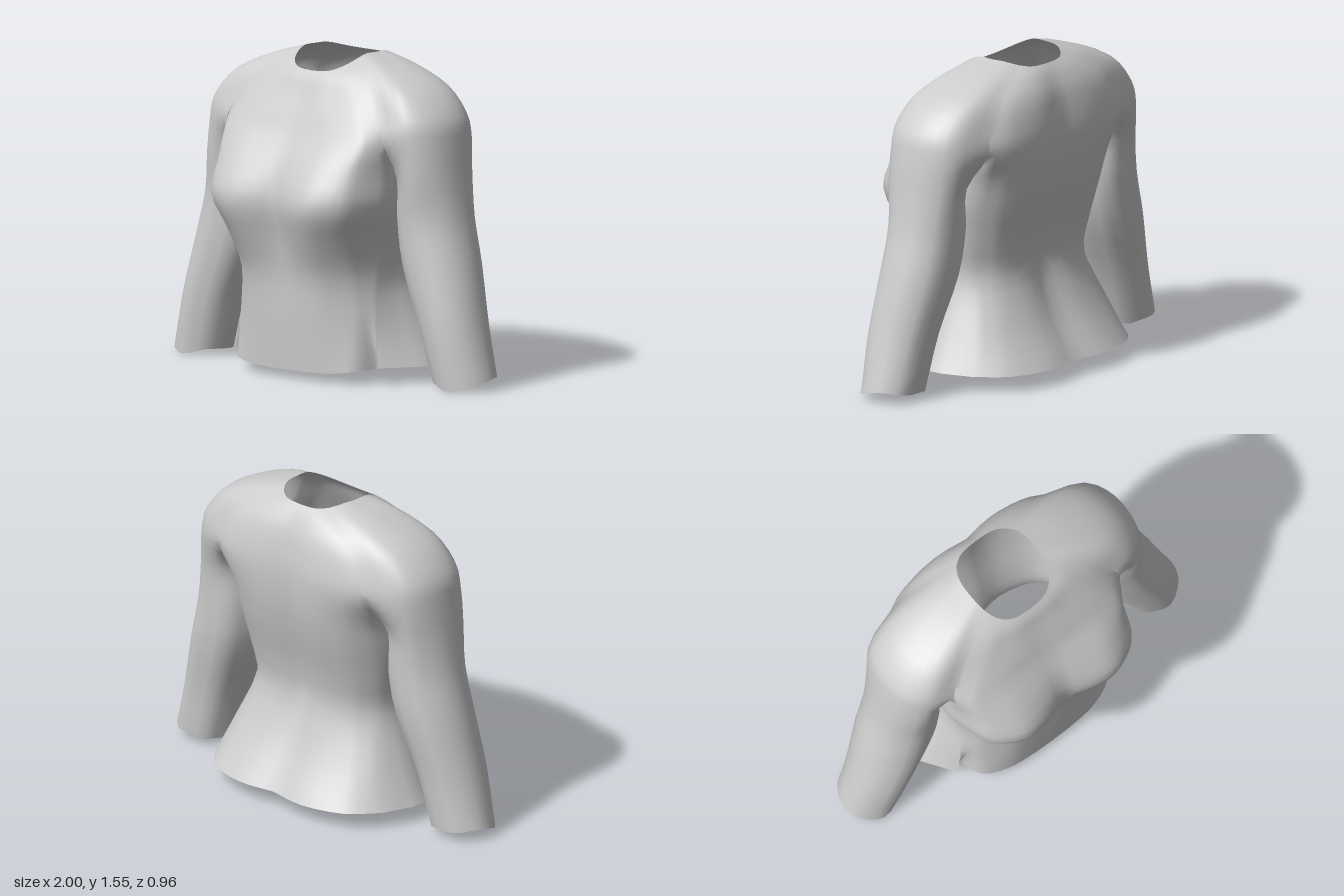
import * as THREE from 'three';
import { mergeVertices } from 'three/addons/utils/BufferGeometryUtils.js';

const vec = (x, y, z) => new THREE.Vector3(x, y, z);
const { lerp, degToRad } = THREE.MathUtils;

// Half torso section (x >= 0): six front points, side, four back points
function torsoRow({ y, front, bust, armX, armZ, sideX, backX, backZ, back, oval = 0, fold = 0, dip = 0 }) {
  const across = [0, 0.3, 0.56, 0.82, 0.92, 1];
  const boxDepth = [1, 1, 1, 0.77, 0.45, 0];
  const ovalDepth = [1, 0.97, 0.86, 0.48, 0.26, 0];
  const points = across.map((a, i) => {
    const depth = lerp(boxDepth[i], ovalDepth[i], oval);
    const full = front + (i === 0 ? 0 : bust * (i === 1 ? 0.85 : 1));
    const z = lerp(armZ, full, depth) - (i === 4 ? fold : 0);
    return vec(armX * a, y - dip * depth, z);
  });
  points.push(vec(sideX, y, -0.05), vec(backX, y, backZ));
  points.push(vec(backX * 0.77, y, lerp(backZ, back, 0.68)));
  points.push(vec(backX * 0.38, y, back), vec(0, y, back + 0.025));
  return points;
}

// Hem (with front fold), waist, bust and armhole
const torso = [
  { y: 0.08, front: 0.33, bust: 0, armX: 0.47, armZ: 0.19, sideX: 0.61, backX: 0.55, backZ: -0.28, back: -0.48, oval: 1, fold: 0.08, dip: 0.04 },
  { y: 0.28, front: 0.345, bust: 0, armX: 0.44, armZ: 0.165, sideX: 0.51, backX: 0.47, backZ: -0.22, back: -0.355, oval: 1, fold: 0.01 },
  { y: 0.5, front: 0.35, bust: 0.01, armX: 0.42, armZ: 0.13, sideX: 0.43, backX: 0.4, backZ: -0.15, back: -0.275, oval: 0.6 },
  { y: 0.68, front: 0.375, bust: 0.045, armX: 0.45, armZ: 0.13, sideX: 0.455, backX: 0.42, backZ: -0.17, back: -0.295, oval: 0.2 },
  { y: 0.86, front: 0.41, bust: 0.067, armX: 0.505, armZ: 0.17, sideX: 0.49, backX: 0.45, backZ: -0.2, back: -0.345 },
  { y: 1.02, front: 0.375, bust: 0.035, armX: 0.505, armZ: 0.17, sideX: 0.49, backX: 0.46, backZ: -0.25, back: -0.38 },
  { y: 1.17, front: 0.295, bust: 0.012, armX: 0.51, armZ: 0.195, sideX: 0.49, backX: 0.49, backZ: -0.32, back: -0.395 },
].map(torsoRow);
const armhole = torso[torso.length - 1];

// Oval sleeve section: armpit front, four outer points, armpit back, inner point
function sleeveRow([y, inX, outX, frontZ, backZ], row) {
  const cuff = [0, -0.03, 0, 0.03, 0.015, 0, 0];
  return [130, 80, 30, -15, -65, -125, 180].map((deg, i) => {
    const a = degToRad(deg);
    return vec(
      (inX + outX) / 2 + (outX - inX) / 2 * Math.cos(a),
      y + (row === 0 ? cuff[i] : 0),
      (frontZ + backZ) / 2 + (frontZ - backZ) / 2 * Math.sin(a));
  });
}

const sleeve = [
  [0.03, 0.685, 1, 0.13, -0.175],
  [0.3, 0.6, 0.935, 0.15, -0.195],
  [0.58, 0.485, 0.865, 0.15, -0.235],
  [0.8, 0.45, 0.805, 0.145, -0.245],
  [1, 0.47, 0.77, 0.165, -0.26],
  [1.17, 0.49, 0.745, 0.165, -0.275],
].map(sleeveRow);
// The top of the sleeve shares the armhole with the torso
const sleeveTop = sleeve[sleeve.length - 1];
[sleeveTop[0], sleeveTop[6], sleeveTop[5]] = armhole.slice(5, 8);

// Neckline: a squarish oval, dipping at the front and slightly at the back
const shoulderRing = [...armhole.slice(0, 6), ...sleeveTop.slice(1, 5), ...armhole.slice(7)];
const neckline = shoulderRing.map((_, i) => {
  const a = Math.PI * (0.5 - i / (shoulderRing.length - 1));
  const s = Math.sin(a);
  const x = 0.2 * Math.abs(Math.cos(a)) ** 0.7;
  const z = -0.062 + 0.208 * Math.sign(s) * Math.abs(s) ** 0.8;
  const y = 1.55 - 0.08 * Math.max(0, (z + 0.02) / 0.16) ** 1.3 - 0.3 * Math.max(0, -z - 0.17);
  return vec(x, y, z);
});

// Yoke: rises from the shoulder ring to the neckline, domed over the shoulders
const frontness = [1, 1, 1, 0.8, 0.6, 0.3];
const yoke = [[0.31, 0.06, 0.29], [0.64, 0.28, 0.61], [0.87, 0.65, 0.81], [1, 1, 1]].map(
  ([rise, sideIn, frontIn]) => shoulderRing.map((p, i) => {
    const q = neckline[i], inward = lerp(sideIn, frontIn, frontness[i] ?? 0);
    return vec(lerp(p.x, q.x, inward), lerp(p.y, q.y, rise), lerp(p.z, q.z, inward));
  }));

// Samples a smooth curve through the points, with STEPS samples per span
const STEPS = 3;
function spline(points) {
  const curve = new THREE.CatmullRomCurve3(points, false, 'catmullrom', 0.5);
  const total = (points.length - 1) * STEPS;
  return Array.from({ length: total + 1 }, (_, i) => curve.getPoint(i / total));
}

// Smooth grid through the rows, cut after `keep` rows
function patch(rows, keep = rows.length) {
  const columns = rows[0].map((_, c) => spline(rows.map(r => r[c])));
  return Array.from({ length: (keep - 1) * STEPS + 1 }, (_, i) =>
    spline(columns.map(col => col[i])));
}

export function createModel() {
  const fabric = new THREE.MeshStandardMaterial({ color: 0xcccccc, side: THREE.DoubleSide });
  fabric.name = 'greyFabric';

  // Guide rows above the armhole, so shared edges follow the same curve
  const guide = yoke.map(r => [r[5], r[5].clone().lerp(r[10], 0.5), r[10]]);
  const front = patch([...torso, ...yoke].map(r => r.slice(0, 6)));
  const back = patch([...torso.map(r => r.slice(7)), ...yoke.map(r => r.slice(10))]);
  const side = patch([...torso.map(r => r.slice(5, 8)), ...guide], torso.length);
  const outer = patch([...sleeve.map(r => r.slice(0, 6)), ...yoke.map(r => r.slice(5, 11))]);
  const inner = patch([...sleeve.map(r => [r[0], r[6], r[5]]), ...guide], sleeve.length);

  const positions = [], index = [];
  function addGrid(grid, mirror, inward) {
    const base = positions.length / 3, w = grid[0].length;
    for (const p of grid.flat()) {
      positions.push(Math.abs(p.x) < 1e-4 ? 0 : p.x * mirror, p.y, p.z);
    }
    const flip = (mirror < 0) !== inward;
    for (let i = 0; i < grid.length - 1; i++) {
      for (let j = 0; j < w - 1; j++) {
        const a = base + i * w + j, b = a + 1, c = b + w, d = a + w;
        if (flip) index.push(a, c, b, a, d, c);
        else index.push(a, b, c, a, c, d);
      }
    }
  }

  const body = [[front, false], [side, false], [back, false]];
  const arm = [[outer, false], [inner, true]];
  const parts = [['bodice', [1, -1], body], ['leftSleeve', [1], arm], ['rightSleeve', [-1], arm]];
  const ranges = parts.map(([name, mirrors, grids]) => {
    const start = index.length;
    for (const m of mirrors) for (const [grid, inward] of grids) addGrid(grid, m, inward);
    return { name, start, end: index.length };
  });

  // Weld all seams so the shading runs smoothly across the parts
  let whole = new THREE.BufferGeometry();
  whole.setAttribute('position', new THREE.Float32BufferAttribute(positions, 3));
  whole.setIndex(index);
  whole = mergeVertices(whole, 1e-4);
  whole.computeVertexNormals();

  const group = new THREE.Group();
  group.name = 'longSleevedTop';
  const welded = Array.from(whole.index.array);
  for (const { name, start, end } of ranges) {
    const geometry = new THREE.BufferGeometry();
    geometry.setAttribute('position', whole.attributes.position.clone());
    geometry.setAttribute('normal', whole.attributes.normal.clone());
    geometry.setIndex(welded.slice(start, end));
    const mesh = new THREE.Mesh(geometry, fabric);
    mesh.name = name;
    group.add(mesh);
  }
  return group;
}
